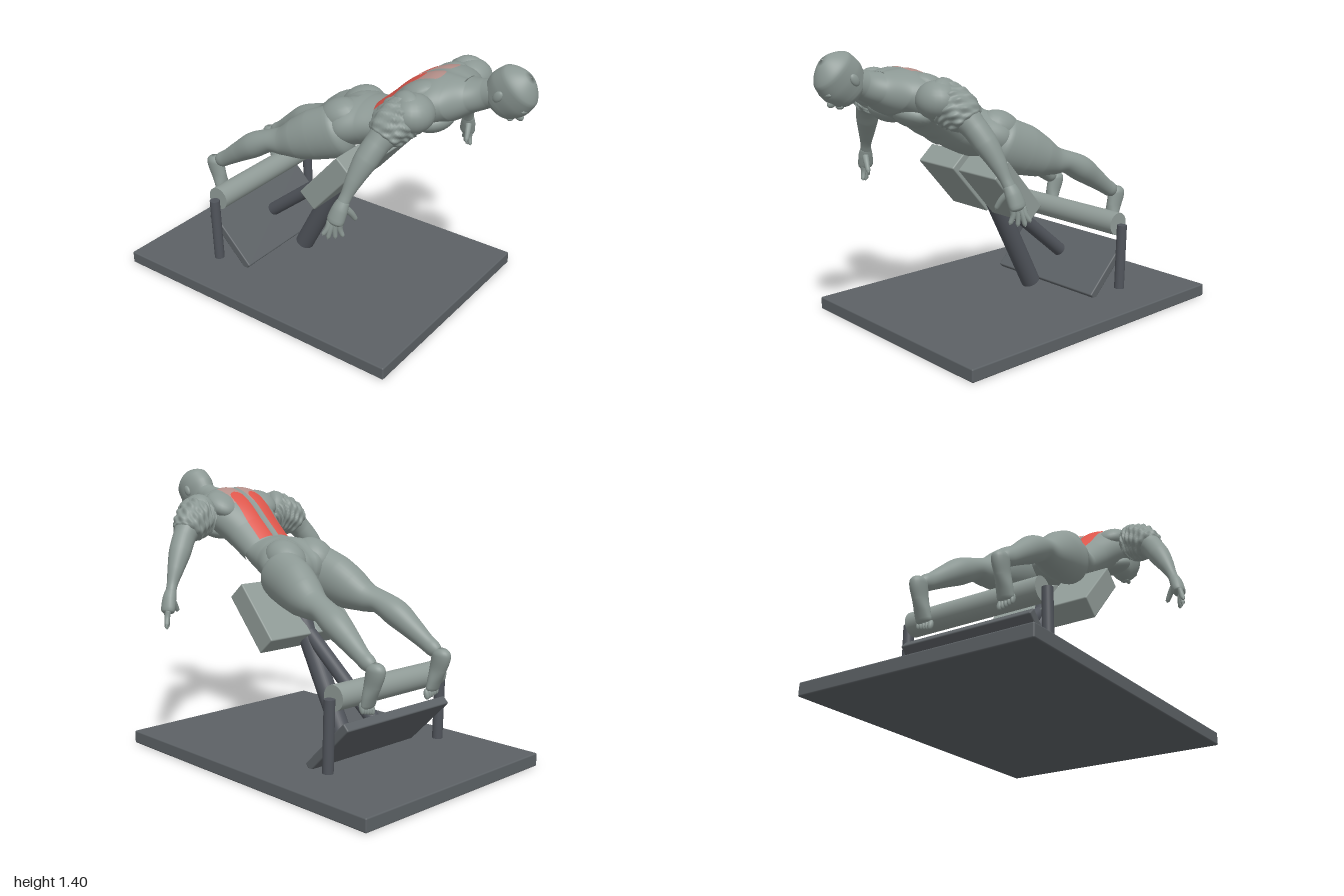
import * as THREE from 'three';
import { RoundedBoxGeometry } from 'three/addons/geometries/RoundedBoxGeometry.js';
import { ParametricGeometry } from 'three/addons/geometries/ParametricGeometry.js';

const material = (name, color) => Object.assign(new THREE.MeshStandardMaterial({ color }), { name });

// Surface swept through sections [x, y, z, sideRadius, depthRadius]; ends may be domed
function sweep(sections, { shape = () => 1, startDome = 0.08, endDome = 0.08, mirror = 1 } = {}) {
  const path = new THREE.CatmullRomCurve3(sections.map(([x, y, z]) => new THREE.Vector3(x * mirror, y, z)));
  const radii = new THREE.CatmullRomCurve3(sections.map(([, , , a, b]) => new THREE.Vector3(a, b, 0)));
  const dome = (t, e) => (t < e ? Math.max(0.03, Math.sqrt(1 - (1 - t / e) ** 2)) : 1);
  const point = (angle, v, target, offset = 0) => {
    const t = THREE.MathUtils.clamp(v, 0, 1);
    const tangent = path.getTangent(t);
    const side = new THREE.Vector3(1, 0, 0).addScaledVector(tangent, -tangent.x).normalize();
    const up = new THREE.Vector3().crossVectors(tangent, side);
    const r = radii.getPoint(t);
    const k = dome(t, startDome) * dome(1 - t, endDome) * shape(mirror > 0 ? angle : Math.PI - angle, t);
    target.copy(path.getPoint(t))
      .addScaledVector(side, Math.cos(angle) * (r.x * k + offset))
      .addScaledVector(up, Math.sin(angle) * (r.y * k + offset));
  };
  return { point, radii };
}

export function createModel() {
  const model = new THREE.Group();
  model.name = 'backExtensionBench';
  const skin = material('body grey', 0x8c9894);
  const padding = material('padding grey', 0x909b97);
  const steel = material('frame steel', 0x50545b);
  const floor = material('base grey', 0x5c6165);
  const red = material('muscle red', 0xdc564b);
  const pink = material('muscle fade', 0xb48f89);

  const add = (name, geometry, mat, position = [0, 0, 0], tilt = 0, parent = model) => {
    const mesh = new THREE.Mesh(geometry, mat);
    mesh.name = name;
    mesh.position.set(...position);
    mesh.rotation.x = tilt;
    parent.add(mesh);
    return mesh;
  };
  const box = (name, mat, size, position, tilt) =>
    add(name, new RoundedBoxGeometry(...size, 2, 0.007), mat, position, tilt);
  const bar = (name, mat, from, to, radius) => {
    const a = new THREE.Vector3(...from), b = new THREE.Vector3(...to);
    const mesh = add(name, new THREE.CylinderGeometry(radius, radius, a.distanceTo(b), 32), mat,
      a.clone().add(b).multiplyScalar(0.5).toArray());
    mesh.quaternion.setFromUnitVectors(new THREE.Vector3(0, 1, 0), b.sub(a).normalize());
  };

  // Bench
  box('base', floor, [1.21, 0.065, 1.65], [0, 0.0325, -0.175]);
  box('footPlate', floor, [0.705, 0.345, 0.045], [0, 0.187, -0.515], -0.785);
  bar('mainPost', steel, [0, 0.095, -0.283], [0, 0.67, 0.02], 0.05);
  bar('rearStrut', steel, [0, 0.6, -0.04], [0, 0.225, -0.5], 0.036);
  bar('ankleRoller', padding, [-0.36, 0.432, -0.567], [0.36, 0.432, -0.567], 0.06);
  for (const s of [-1, 1]) {
    box('hipPad', padding, [0.268, 0.34, 0.115], [s * 0.154, 0.695, 0.08], 0.723);
    bar('rollerPost', steel, [s * 0.385, 0.09, -0.56], [s * 0.385, 0.432, -0.568], 0.026);
  }

  // Body
  const body = new THREE.Group();
  body.name = 'body';
  model.add(body);
  const flesh = (name, sections, options = {}, around = 32, along = 40) => {
    const { point } = sweep(sections, options);
    add(name, new ParametricGeometry((u, v, p) => point(u * Math.PI * 2, v, p), around, along), skin, undefined, 0, body);
  };
  const blob = (name, position, radii, tilt = 0) => {
    const geometry = new THREE.SphereGeometry(1, 24, 16).scale(...radii);
    add(name, geometry, skin, position, tilt, body);
  };
  const bump = (a, centre, width) => Math.exp(-(((a - centre) / width) ** 2));

  // Torso and neck, with spine groove and abdominal ridges
  const torsoSections = [
    [0, 0.995, 0.272, 0.15, 0.098], [0, 1.075, 0.38, 0.163, 0.11], [0, 1.15, 0.48, 0.2, 0.122],
    [0, 1.19, 0.56, 0.23, 0.122], [0, 1.208, 0.635, 0.19, 0.103], [0, 1.225, 0.7, 0.1, 0.077],
    [0, 1.248, 0.765, 0.064, 0.066], [0, 1.28, 0.84, 0.058, 0.06]];
  const torsoOptions = {
    startDome: 0,
    shape: (a, v) => 1 - 0.06 * bump(a, Math.PI / 2, 0.14) * (v < 0.7 ? 1 : 0)
      - bump(a, Math.PI * 1.5, 0.1) * 0.05 * (v < 0.65 ? 1 : 0)
      + bump(a, Math.PI * 1.5, 0.55) * (v < 0.32 ? 0.022 * Math.sin(v * 58) : 0),
  };
  const torso = sweep(torsoSections, torsoOptions);
  flesh('torso', torsoSections, torsoOptions, 72, 90);
  flesh('pelvis', [
    [0, 1.04, 0.34, 0.13, 0.08], [0, 0.99, 0.262, 0.144, 0.091], [0, 0.965, 0.17, 0.172, 0.112],
    [0, 0.945, 0.08, 0.205, 0.122], [0, 0.9, -0.01, 0.19, 0.105], [0, 0.87, -0.06, 0.15, 0.08]],
  { endDome: 0.25, shape: (a, v) => 1 - 0.1 * bump(a, Math.PI * 1.5, 0.14) * (v > 0.5 ? 1 : 0) }, 56, 48);

  // Highlighted muscles lying on the back
  const patch = (name, mat, s, v0, v1, centre, half, offset) =>
    add(name, new ParametricGeometry((u, t, p) => {
      const v = v0 + (v1 - v0) * t;
      const end = t > 0.85 ? Math.max(0.1, Math.sqrt(Math.max(0, 1 - ((t - 0.85) / 0.15) ** 2))) : 1;
      const x = s * centre + half * end * (1 - 2 * u);
      torso.point(Math.acos(x / torso.radii.getPoint(v).x), v, p, offset);
    }, 12, 40), mat, undefined, 0, body);

  // Head and face
  flesh('head', [
    [0, 1.195, 0.79, 0.05, 0.072], [0, 1.235, 0.83, 0.068, 0.1], [0, 1.28, 0.875, 0.08, 0.116],
    [0, 1.325, 0.917, 0.081, 0.108], [0, 1.372, 0.962, 0.06, 0.075]],
  { startDome: 0.2, endDome: 0.3 }, 40, 40);
  blob('nose', [0, 1.182, 0.921], [0.014, 0.019, 0.026], 0.6);
  blob('brow', [0, 1.222, 0.955], [0.046, 0.018, 0.016], 0.8);
  blob('mouth', [0, 1.164, 0.882], [0.025, 0.014, 0.016], 0.6);

  for (const s of [-1, 1]) {
    const limb = (name, sections, options = {}, around, along) => flesh(name, sections, { mirror: s, ...options }, around, along);
    patch('lowerBackMuscle', red, s, 0.004, 0.38, 0.058, 0.038, 0.004);
    patch('upperBackFade', pink, s, 0.28, 0.5, 0.06, 0.045, 0.002);
    blob('ear', [s * 0.083, 1.283, 0.855], [0.012, 0.03, 0.02], 0.6);
    blob('chestMuscle', [s * 0.092, 1.1, 0.565], [0.105, 0.052, 0.085], -0.35);
    blob('shoulderBlade', [s * 0.13, 1.225, 0.49], [0.085, 0.055, 0.1], -0.5);
    blob('buttock', [s * 0.095, 0.975, 0.035], [0.098, 0.09, 0.12], -0.45);

    // Arm, with the ragged upper sleeve
    blob('shoulder', [s * 0.255, 1.185, 0.545], [0.105, 0.088, 0.095]);
    limb('arm', [
      [0.2, 1.195, 0.55, 0.085, 0.09], [0.28, 1.175, 0.515, 0.085, 0.09], [0.345, 1.13, 0.485, 0.074, 0.078],
      [0.4, 1.075, 0.46, 0.058, 0.058], [0.445, 1.01, 0.435, 0.056, 0.056], [0.495, 0.925, 0.408, 0.041, 0.041],
      [0.535, 0.845, 0.388, 0.026, 0.028], [0.555, 0.8, 0.375, 0.026, 0.03]], {}, 32, 56);
    limb('sleeve', [
      [0.21, 1.165, 0.525, 0.07, 0.075], [0.275, 1.165, 0.505, 0.1, 0.1],
      [0.335, 1.135, 0.485, 0.094, 0.094], [0.385, 1.085, 0.465, 0.068, 0.07]],
    { endDome: 0.1, shape: (a, v) => 1 + 0.06 * Math.sin(a * 5 + v * 17) * Math.sin(a * 3 - v * 23)
      + 0.03 * Math.sin(a * 11 + v * 31) }, 56, 40);

    // Hand
    limb('palm', [
      [0.54, 0.835, 0.385, 0.024, 0.028], [0.56, 0.79, 0.375, 0.032, 0.038],
      [0.575, 0.745, 0.365, 0.032, 0.042], [0.585, 0.715, 0.36, 0.026, 0.036]], { endDome: 0.2 }, 24, 20);
    const tips = [[0.618, 0.665, 0.32], [0.605, 0.645, 0.34], [0.582, 0.645, 0.365], [0.562, 0.655, 0.395]];
    tips.forEach(([x, y, z], i) => limb('finger', [
      [0.59 - i * 0.007, 0.74, 0.342 + i * 0.016, 0.014, 0.014],
      [x * 0.55 + 0.262, 0.7, z * 0.6 + 0.146, 0.013, 0.013], [x, y, z, 0.01, 0.01]], { endDome: 0.15 }, 12, 14));
    limb('thumb', [
      [0.55, 0.8, 0.385, 0.018, 0.018], [0.515, 0.76, 0.4, 0.015, 0.015], [0.485, 0.712, 0.41, 0.011, 0.011]],
    { endDome: 0.15 }, 12, 14);

    // Leg
    limb('leg', [
      [0.108, 0.945, 0.1, 0.1, 0.11], [0.125, 0.9, 0.02, 0.105, 0.133], [0.145, 0.862, -0.08, 0.103, 0.128],
      [0.165, 0.82, -0.175, 0.094, 0.106], [0.18, 0.79, -0.255, 0.075, 0.075], [0.195, 0.773, -0.335, 0.066, 0.058],
      [0.208, 0.73, -0.425, 0.07, 0.066], [0.217, 0.665, -0.525, 0.054, 0.054], [0.225, 0.6, -0.62, 0.037, 0.041],
      [0.227, 0.56, -0.69, 0.035, 0.04]], {}, 36, 72);

    // Foot with toes hooked under the roller
    limb('foot', [
      [0.228, 0.595, -0.7, 0.035, 0.044], [0.228, 0.55, -0.697, 0.037, 0.05], [0.228, 0.49, -0.68, 0.034, 0.044],
      [0.227, 0.43, -0.662, 0.041, 0.031], [0.224, 0.375, -0.647, 0.043, 0.02]], { startDome: 0.2 }, 24, 28);
    for (let i = 0; i < 5; i++) {
      const x = 0.191 + i * 0.017;
      blob('toe', [s * x, 0.365 + i * 0.004, -0.644], [i === 0 ? 0.014 : 0.01, 0.027, 0.014], 0.25);
    }
  }
  return model;
}
